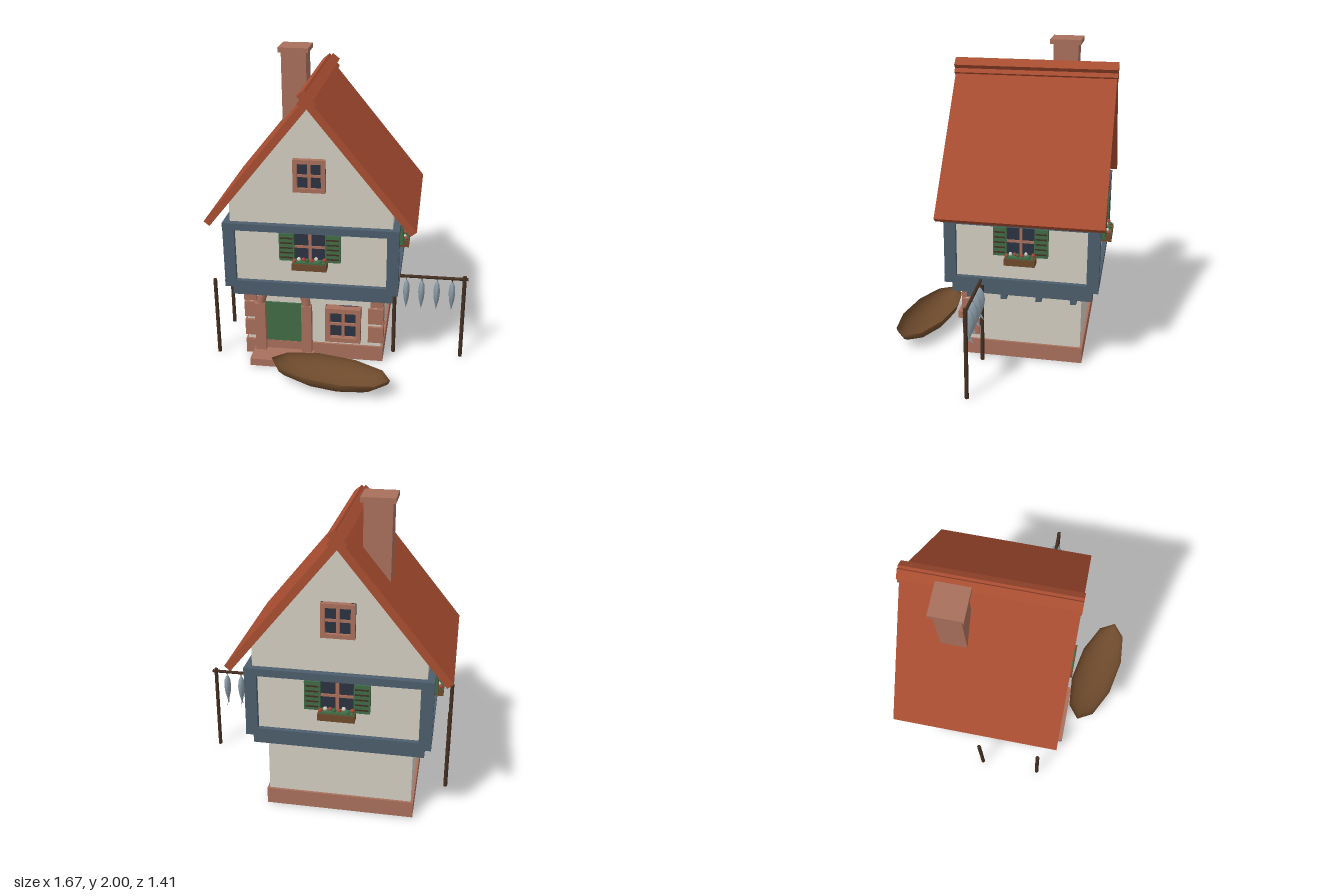
import * as THREE from 'three';

const mat = (name, color, side = THREE.FrontSide) => {
  const m = new THREE.MeshStandardMaterial({ color, side });
  m.name = name;
  return m;
};

export function createModel() {
  const M = {
    plaster: mat('plaster', 0xd2ccc0),
    stone: mat('stone', 0xa86f5c),
    timber: mat('timber', 0x4c5d6c),
    roof: mat('roof tile', 0xa84d31),
    green: mat('green paint', 0x3f6b45),
    glass: mat('glass', 0x2b3342),
    dark: mat('dark wood', 0x442f21),
    brown: mat('brown wood', 0x6e4a2c, THREE.DoubleSide),
    fish: mat('fish skin', 0x8a9aa5, THREE.DoubleSide),
    red: mat('flower red', 0xb04436),
  };
  const model = new THREE.Group();
  model.name = 'cottage';

  const add = (parent, name, geo, material, x = 0, y = 0, z = 0) => {
    const m = new THREE.Mesh(geo, material);
    m.name = name;
    m.position.set(x, y, z);
    parent.add(m);
    return m;
  };
  // box given by its min and max on each axis
  const box = (parent, name, material, x0, x1, y0, y1, z0, z1) =>
    add(parent, name, new THREE.BoxGeometry(x1 - x0, y1 - y0, z1 - z0), material,
      (x0 + x1) / 2, (y0 + y1) / 2, (z0 + z1) / 2);
  const group = (parent, name, x = 0, y = 0, z = 0) => {
    const g = new THREE.Group();
    g.name = name;
    g.position.set(x, y, z);
    parent.add(g);
    return g;
  };
  // extruded outline from z0 to z1
  const prism = (parent, name, material, pts, z0, z1) =>
    add(parent, name, new THREE.ExtrudeGeometry(new THREE.Shape(pts.map(p => new THREE.Vector2(...p))),
      { depth: z1 - z0, bevelEnabled: false }), material, 0, 0, z0);

  const CX = -0.17, CZ = -0.175;

  // Ground floor
  box(model, 'lowerWall', M.plaster, -0.62, 0.28, 0, 0.5, -0.55, 0.2);
  box(model, 'plinth', M.stone, -0.635, 0.295, 0.003, 0.11, -0.565, 0.215);
  box(model, 'doorStep', M.stone, -0.575, -0.165, 0, 0.05, 0.1, 0.368);
  [[0.145, 0.26, 0.1], [0.285, 0.397, 0.1], [0.41, 0.48, 0.085]].forEach(([y0, y1, w]) => {
    box(model, 'quoin', M.stone, 0.295 - w, 0.295, y0, y1, 0.11, 0.22);
    box(model, 'quoin', M.stone, -0.635, -0.635 + w, y0, y1, 0.11, 0.22);
  });

  // Door with jambs and round arch
  box(model, 'door', M.green, -0.49, -0.245, 0.05, 0.4, 0.19, 0.212);
  box(model, 'doorJamb', M.stone, -0.56, -0.49, 0.05, 0.4, 0.18, 0.247);
  box(model, 'doorJamb', M.stone, -0.247, -0.18, 0.05, 0.4, 0.18, 0.247);
  add(model, 'doorArch', new THREE.TorusGeometry(0.152, 0.03, 8, 20, Math.PI), M.stone, -0.368, 0.395, 0.215);

  // Window with a cross of bars; f is the frame width
  const windowUnit = (parent, w, h, f, depth) => {
    const g = group(parent, 'window');
    const a = w / 2, b = h / 2;
    box(g, 'glass', M.glass, -a, a, -b, b, -0.01, depth * 0.4);
    if (f) {
      for (const s of [-1, 1]) {
        const sx = s * (a - f / 2), sy = s * (b - f / 2);
        box(g, 'frameSide', M.stone, sx - f / 2, sx + f / 2, -b, b, -0.01, depth);
        box(g, 'frameRail', M.stone, -a + f, a - f, sy - f / 2, sy + f / 2, -0.01, depth);
      }
    }
    box(g, 'mullion', M.stone, -0.01, 0.01, -b + f, b - f, 0, depth * 0.7);
    box(g, 'glazingBar', M.stone, -a + f, a - f, -0.008, 0.008, 0, depth * 0.65);
    return g;
  };
  windowUnit(model, 0.234, 0.25, 0.032, 0.06).position.set(0.031, 0.28, 0.2);

  // Jetty band and joists
  box(model, 'jettyBand', M.timber, -0.69, 0.355, 0.48, 0.556, -0.62, 0.27);
  for (const z of [0.158, -0.06, -0.283, -0.503])
    box(model, 'joist', M.timber, -0.68, 0.34, 0.442, 0.482, z - 0.019, z + 0.019);

  // Upper floor: plaster core with framed panels
  box(model, 'upperWall', M.plaster, CX - 0.53, CX + 0.53, 0.557, 0.995, CZ - 0.455, CZ + 0.455);

  const flowers = [M.red, M.plaster, M.red, M.green, M.red, M.plaster, M.green, M.red];
  const shutteredWindow = (parent) => {
    const g = group(parent, 'shutteredWindow');
    windowUnit(g, 0.2, 0.185, 0, 0.03).position.y = 0.862;
    for (const s of [-1, 1]) {
      const c = s * 0.147;
      box(g, 'shutter', M.green, c - 0.048, c + 0.048, 0.77, 0.955, 0, 0.04);
      for (let i = 0; i < 5; i++) {
        const y = 0.793 + i * 0.033;
        box(g, 'shutterGap', M.dark, c - 0.04, c + 0.04, y - 0.005, y + 0.005, 0.036, 0.042);
      }
    }
    box(g, 'flowerBox', M.brown, -0.11, 0.11, 0.72, 0.765, 0, 0.075);
    box(g, 'leaves', M.green, -0.1, 0.1, 0.762, 0.774, 0.012, 0.068);
    flowers.forEach((m, i) => add(g, 'flower', new THREE.IcosahedronGeometry(0.013, 1), m,
      -0.095 + i * 0.027, 0.78 + (i % 2) * 0.007, 0.055 - (i % 3) * 0.012));
    return g;
  };
  // half is half the panel width, dist the distance of the wall from the centre
  const facade = (name, angle, half, dist, wide) => {
    const turn = group(model, name, CX, 0, CZ);
    turn.rotation.y = angle;
    const g = group(turn, 'panel', 0, 0, dist);
    const e = half + 0.03;
    box(g, 'topBeam', M.timber, -e, e, 0.955, 1.002, -0.03, 0.03);
    box(g, 'bottomBeam', M.timber, -e, e, 0.555, 0.602, -0.03, 0.03);
    for (const s of [-1, 1])
      box(g, 'cornerPost', M.timber, s * (half - 0.02) - 0.025, s * (half - 0.02) + 0.025, 0.6, 0.957, -0.03, 0.03);
    for (const s of [-1, 1])
      box(g, 'cornerEdge', M.timber, s * (e - 0.015) - 0.014, s * (e - 0.015) + 0.014, 0.6, 0.957, -0.03, 0.028);
    shutteredWindow(g).scale.x = wide;
  };
  facade('frontFacade', 0, 0.53, 0.455, 1);
  facade('backFacade', Math.PI, 0.53, 0.455, 1);
  facade('leftFacade', Math.PI / 2, 0.455, 0.53, 0.87);
  facade('rightFacade', -Math.PI / 2, 0.455, 0.53, 0.87);

  // Attic, roof and ridge
  prism(model, 'gable', M.plaster, [[CX - 0.517, 0.99], [CX + 0.517, 0.99], [CX + 0.517, 1.14],
    [CX, 1.78], [CX - 0.517, 1.14]], -0.62, 0.27);
  for (const [z, r] of [[0.27, 0], [-0.62, Math.PI]]) {
    const w = windowUnit(model, 0.2, 0.21, 0.026, 0.035);
    w.position.set(CX, 1.335, z);
    w.rotation.y = r;
  }
  prism(model, 'roof', M.roof, [[CX - 0.666, 1.02], [CX - 0.63, 0.99], [CX, 1.765],
    [CX + 0.63, 0.99], [CX + 0.666, 1.02], [CX, 1.84]], -0.69, 0.34);
  for (const s of [-1, 1]) {
    const cap = add(model, 'ridgeCap', new THREE.BoxGeometry(0.11, 0.06, 1.042), M.roof, CX, 1.82, CZ);
    cap.rotation.z = s * 0.887;
  }

  // Chimney
  box(model, 'chimney', M.stone, -0.44, -0.275, 1.3, 1.975, -0.43, -0.27);
  box(model, 'chimneyCap', M.stone, -0.457, -0.257, 1.97, 2, -0.45, -0.25);

  // Drying rack and free posts
  const post = (x, z, h) => add(model, 'post', new THREE.CylinderGeometry(0.013, 0.013, h, 8), M.dark, x, h / 2, z);
  post(0.357, 0.077, 0.6);
  post(0.812, 0.077, 0.605);
  post(-0.823, -0.175, 0.555);
  post(-0.823, 0.225, 0.555);
  const bar = add(model, 'rackBar', new THREE.CylinderGeometry(0.011, 0.011, 0.49, 8), M.dark, 0.59, 0.585, 0.077);
  bar.rotation.z = Math.PI / 2;

  // Hanging fish
  const body = new THREE.LatheGeometry([[0, -0.11], [0.012, -0.08], [0.03, -0.03], [0.037, 0.02],
    [0.03, 0.065], [0.014, 0.09], [0, 0.1]].map(p => new THREE.Vector2(...p)), 10);
  const tail = new THREE.ShapeGeometry(new THREE.Shape([[0, 0.035], [-0.03, -0.028], [0, -0.008], [0.03, -0.028]]
    .map(p => new THREE.Vector2(...p))));
  for (let i = 0; i < 4; i++) {
    const f = group(model, 'fish', 0.434 + i * 0.1, 0.46, 0.077);
    add(f, 'fishBody', body, M.fish).scale.x = 0.6;
    add(f, 'fishTail', tail, M.fish, 0, -0.1, 0).rotation.y = Math.PI / 2;
    add(f, 'hangingString', new THREE.CylinderGeometry(0.003, 0.003, 0.05, 5), M.dark, 0, 0.105, 0);
  }

  // Open boat: lower half of a stretched sphere
  const boat = add(model, 'boat', new THREE.SphereGeometry(1, 10, 6, 0, Math.PI * 2, Math.PI / 2, Math.PI / 2),
    M.brown, -0.018, 0.125, 0.53);
  boat.scale.set(0.4, 0.115, 0.157);
  boat.rotation.y = -0.2;

  return model;
}
